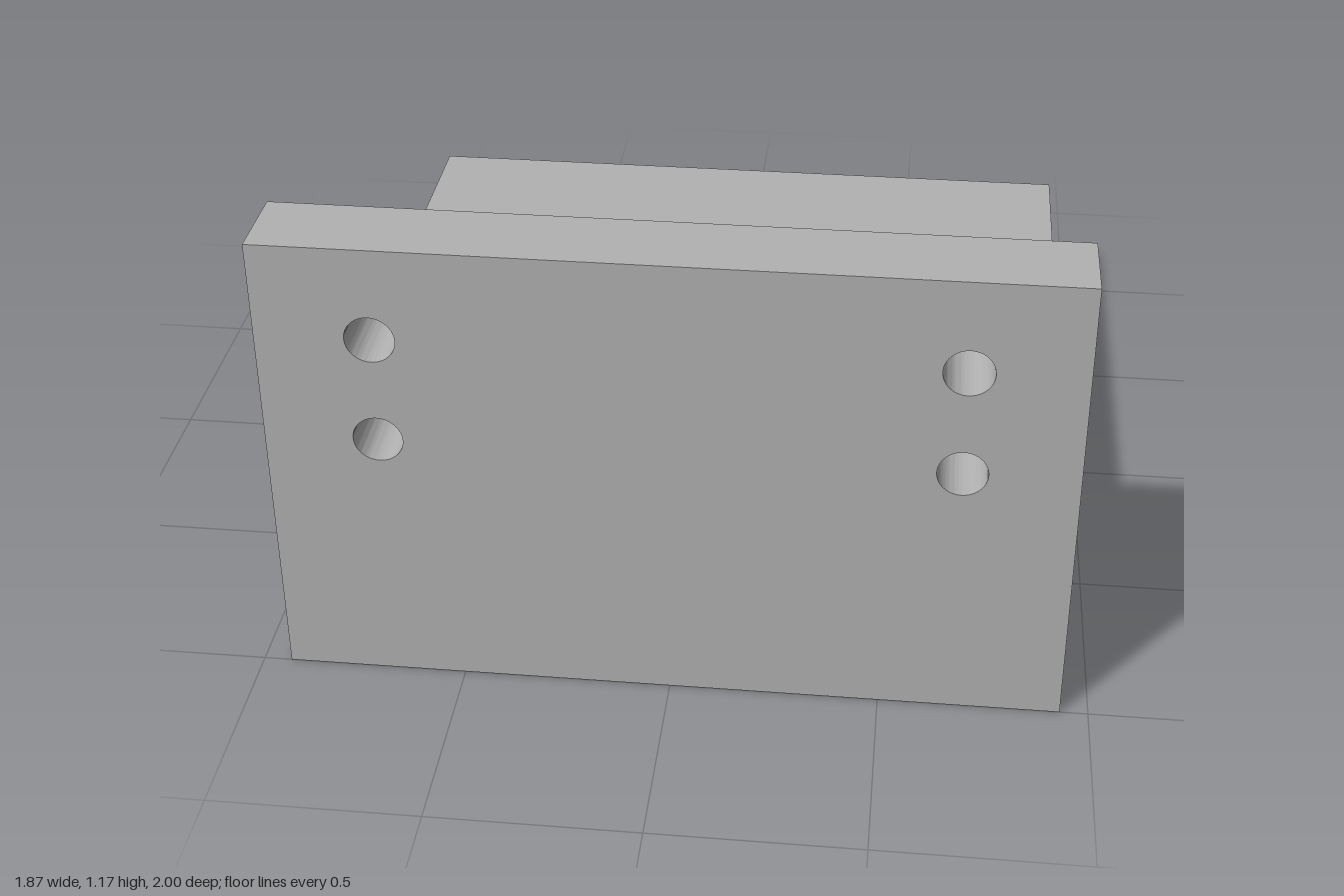
import * as THREE from 'three';
import { toCreasedNormals } from 'three/addons/utils/BufferGeometryUtils.js';

const HALF_W = 0.933, BASE_H = 0.367, HEIGHT = 1.167, WALL_T = 0.2;

// Rectangular plate spanning y0..y1 in the shape plane, drilled with [x, y, radius] holes
function drilledPlate(y0, y1, depth, holes) {
  const shape = new THREE.Shape();
  shape.moveTo(-HALF_W, y0);
  shape.lineTo(HALF_W, y0);
  shape.lineTo(HALF_W, y1);
  shape.lineTo(-HALF_W, y1);
  shape.closePath();
  for (const [x, y, r] of holes) {
    shape.holes.push(new THREE.Path().absarc(x, y, r, 0, Math.PI * 2, true));
  }
  const geometry = new THREE.ExtrudeGeometry(shape, { depth, bevelEnabled: false, curveSegments: 40 });
  return toCreasedNormals(geometry, 0.6);
}

export function createModel() {
  const group = new THREE.Group();
  group.name = 'angleBracket';
  const grey = new THREE.MeshStandardMaterial({ color: 0xb2b2b2 });
  grey.name = 'plain grey';

  // Base slab: one pivot hole and an arc of four adjustment holes, given as [x, z, radius]
  const baseGeometry = drilledPlate(-1, 1 - WALL_T, BASE_H, [
    [0, 0.41, 0.107],
    [0.47, -0.15, 0.058],
    [0.6, 0.01, 0.058],
    [0.687, 0.16, 0.058],
    [0.73, 0.41, 0.058],
  ].map(([x, z, r]) => [x, x === 0.6 ? -0.01 + 0.02 * 0.5 : z, r]));
  baseGeometry.rotateX(Math.PI / 2).translate(0, BASE_H, 0);
  const base = new THREE.Mesh(baseGeometry, grey);
  base.name = 'baseSlab';

  // Upright wall at the front with two mounting holes on each side
  const wallHoles = [];
  for (const x of [-0.667, 0.667]) {
    for (const y of [0.67, 0.937]) wallHoles.push([x, y, 0.058]);
  }
  const wallGeometry = drilledPlate(0, HEIGHT, WALL_T, wallHoles);
  wallGeometry.translate(0, 0, 1 - WALL_T);
  const wall = new THREE.Mesh(wallGeometry, grey);
  wall.name = 'uprightWall';

  group.add(base, wall);
  return group;
}
